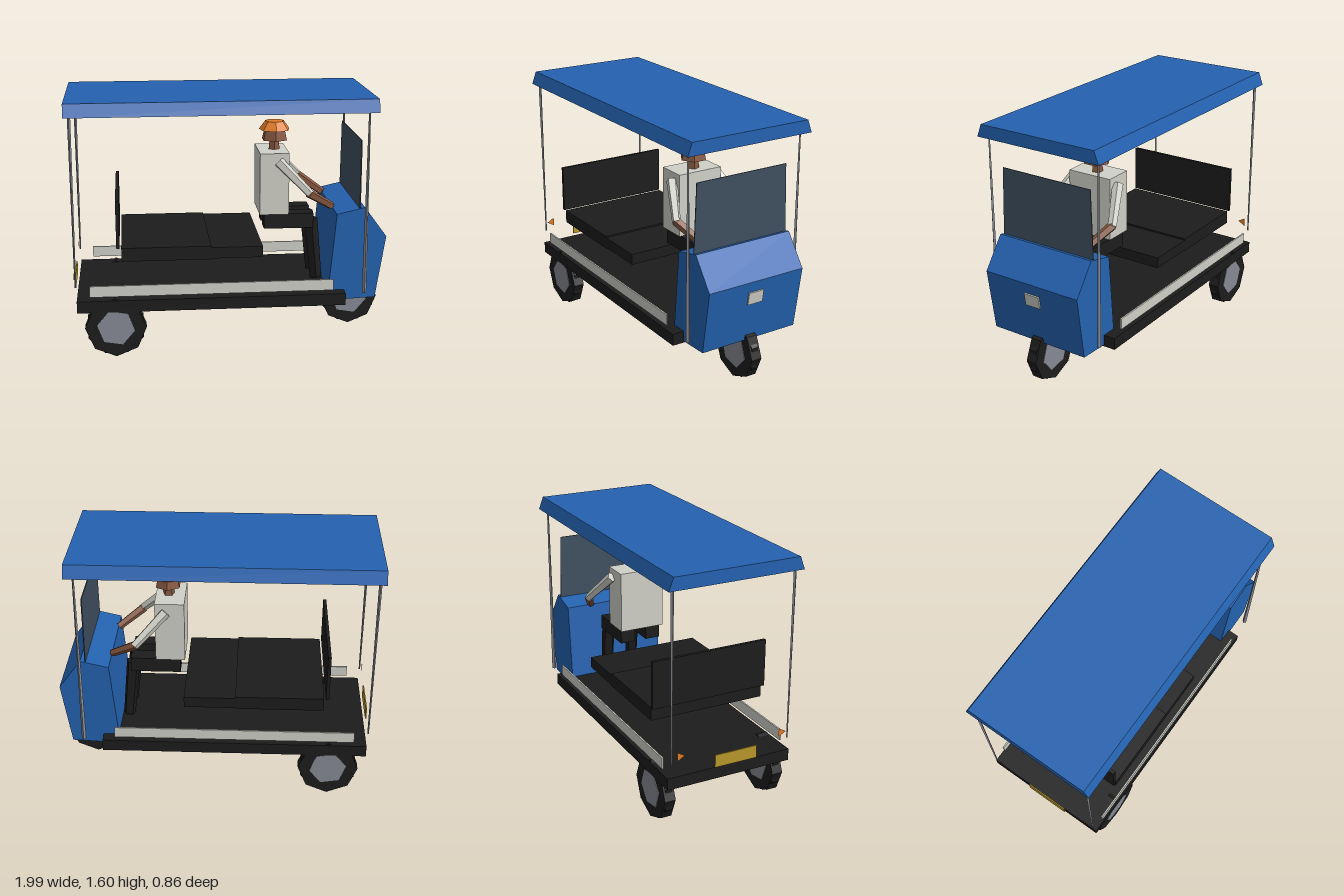
import * as THREE from 'three';

const mat = (name, color, flatShading = true) => {
  const m = new THREE.MeshStandardMaterial({ color, flatShading });
  m.name = name;
  return m;
};

export function createModel() {
  const blue = mat('bodyBlue', 0x2462b0);
  const black = mat('black', 0x1c1c1c);
  const cream = mat('cream', 0xcfd0c7);
  const grey = mat('metalGrey', 0x868a93);
  const glass = mat('darkGlass', 0x3f4f5f);
  const skin = mat('skin', 0x875840);
  const orange = mat('orange', 0xe07a25);
  const yellow = mat('plateYellow', 0xb8962a);
  glass.side = orange.side = THREE.DoubleSide;

  const model = new THREE.Group();
  const add = (name, geometry, material) => {
    const mesh = new THREE.Mesh(geometry, material);
    mesh.name = name;
    model.add(mesh);
    return mesh;
  };
  // box given by its limits on each axis
  const box = (name, material, x0, x1, y0, y1, z0, z1) =>
    add(name, new THREE.BoxGeometry(x1 - x0, y1 - y0, z1 - z0), material)
      .position.set((x0 + x1) / 2, (y0 + y1) / 2, (z0 + z1) / 2);
  // profile extruded symmetrically about z = 0
  const prism = (points, depth) => {
    const shape = new THREE.Shape(points.map(([x, y]) => new THREE.Vector2(x, y)));
    return new THREE.ExtrudeGeometry(shape, { depth, bevelEnabled: false }).translate(0, 0, -depth / 2);
  };
  // tapered rod between two points
  const rod = (name, material, from, to, r0, r1, sides = 5) => {
    const a = new THREE.Vector3(...from), b = new THREE.Vector3(...to);
    const mesh = add(name, new THREE.CylinderGeometry(r1, r0, a.distanceTo(b), sides), material);
    mesh.position.copy(a).add(b).multiplyScalar(0.5);
    mesh.quaternion.setFromUnitVectors(new THREE.Vector3(0, 1, 0), b.sub(a).normalize());
  };

  // roof with sloping long sides
  add('roof', prism([[-0.43, 1.52], [0.43, 1.52], [0.4, 1.6], [-0.4, 1.6]], 1.88)
    .rotateY(Math.PI / 2).translate(-0.06, 0, 0), blue);

  // nose and windshield
  add('nose', prism([[0.61, 0.36], [0.7, 0.31], [0.91, 0.32], [0.97, 0.72], [0.83, 0.91], [0.655, 0.87]], 0.67), blue);
  add('windshield', prism([[-0.33, 0.9], [0.33, 0.9], [0.315, 1.33], [-0.315, 1.33]], 0.006)
    .rotateY(Math.PI / 2).translate(0.8, 0, 0), glass);
  const lamp = add('headlamp', new THREE.BoxGeometry(0.009, 0.08, 0.105), cream);
  lamp.position.set(0.959, 0.613, 0);
  lamp.rotation.z = -Math.atan2(0.06, 0.4);

  // floor, side rails and rear details
  box('deck', black, -0.96, 0.71, 0.3, 0.375, -0.41, 0.41);
  box('numberPlate', yellow, -0.98, -0.972, 0.385, 0.465, -0.11, 0.17);
  for (const s of [-1, 1]) {
    box('sideRail', cream, -0.88, 0.63, 0.4, 0.47, s * 0.4 - 0.005, s * 0.4 + 0.005);
    const light = new THREE.CircleGeometry(0.033, 3).rotateY(-Math.PI / 2);
    add('tailLight', light, orange).position.set(-0.975, 0.51, s * 0.34);
    rod('frontPole', grey, [0.83, 0.37, s * 0.385], [0.825, 1.53, s * 0.39], 0.014, 0.006, 4);
    rod('rearPole', grey, [-0.965, 0.46, s * 0.39], [-0.965, 1.53, s * 0.39], 0.005, 0.01, 4);
  }

  // passenger bench
  box('benchRear', black, -0.68, -0.13, 0.615, 0.7, -0.375, 0.375);
  box('benchFront', black, -0.13, 0.19, 0.62, 0.69, -0.375, 0.375);
  box('backrest', black, -0.71, -0.69, 0.7, 1, -0.38, 0.38);

  // driver
  box('torso', cream, 0.195, 0.38, 0.825, 1.22, -0.15, 0.15);
  rod('neck', skin, [0.3, 1.215, 0], [0.3, 1.29, 0], 0.037, 0.03);
  rod('head', skin, [0.303, 1.28, 0], [0.303, 1.37, 0], 0.085, 0.065, 6);
  const hat = new THREE.CylinderGeometry(0.06, 0.1, 0.055, 7, 1, true);
  add('hatBrim', hat, orange).position.set(0.303, 1.373, 0);
  add('hatTop', new THREE.CircleGeometry(0.06, 7).rotateX(-Math.PI / 2), orange).position.set(0.303, 1.4, 0);
  for (const s of [-1, 1]) {
    rod('sleeve', cream, [0.31, 1.17, s * 0.16], [0.5, 0.98, s * 0.25], 0.035, 0.027);
    rod('forearm', skin, [0.49, 0.985, s * 0.247], [0.65, 0.88, s * 0.17], 0.03, 0.025);
    box('thigh', black, 0.225, 0.54, 0.73, 0.825, s * 0.09 - 0.05, s * 0.09 + 0.05);
    rod('shin', black, [0.57, 0.385, s * 0.09], [0.53, 0.78, s * 0.09], 0.04, 0.045);
  }

  // wheels: one in front, two behind
  for (const [name, x, r, y, z] of [['frontWheel', 0.805, 0.185, 0.215, 0],
    ['rearWheelLeft', -0.725, 0.19, 0.195, 0.368], ['rearWheelRight', -0.725, 0.19, 0.195, -0.368]]) {
    const wheel = new THREE.Group();
    wheel.name = name;
    wheel.position.set(x, y, z);
    const disc = (part, radius, width, sides, turn, material) => {
      const geometry = new THREE.CylinderGeometry(radius, radius, width, sides).rotateX(Math.PI / 2).rotateZ(turn);
      const mesh = new THREE.Mesh(geometry, material);
      mesh.name = part;
      wheel.add(mesh);
    };
    disc('tyre', r, 0.07, 8, 0, black);
    disc('tread', r - 0.005, 0.045, 8, Math.PI / 8, black);
    disc('hub', 0.118, 0.076, 6, 0.35, grey);
    model.add(wheel);
  }

  return model;
}
